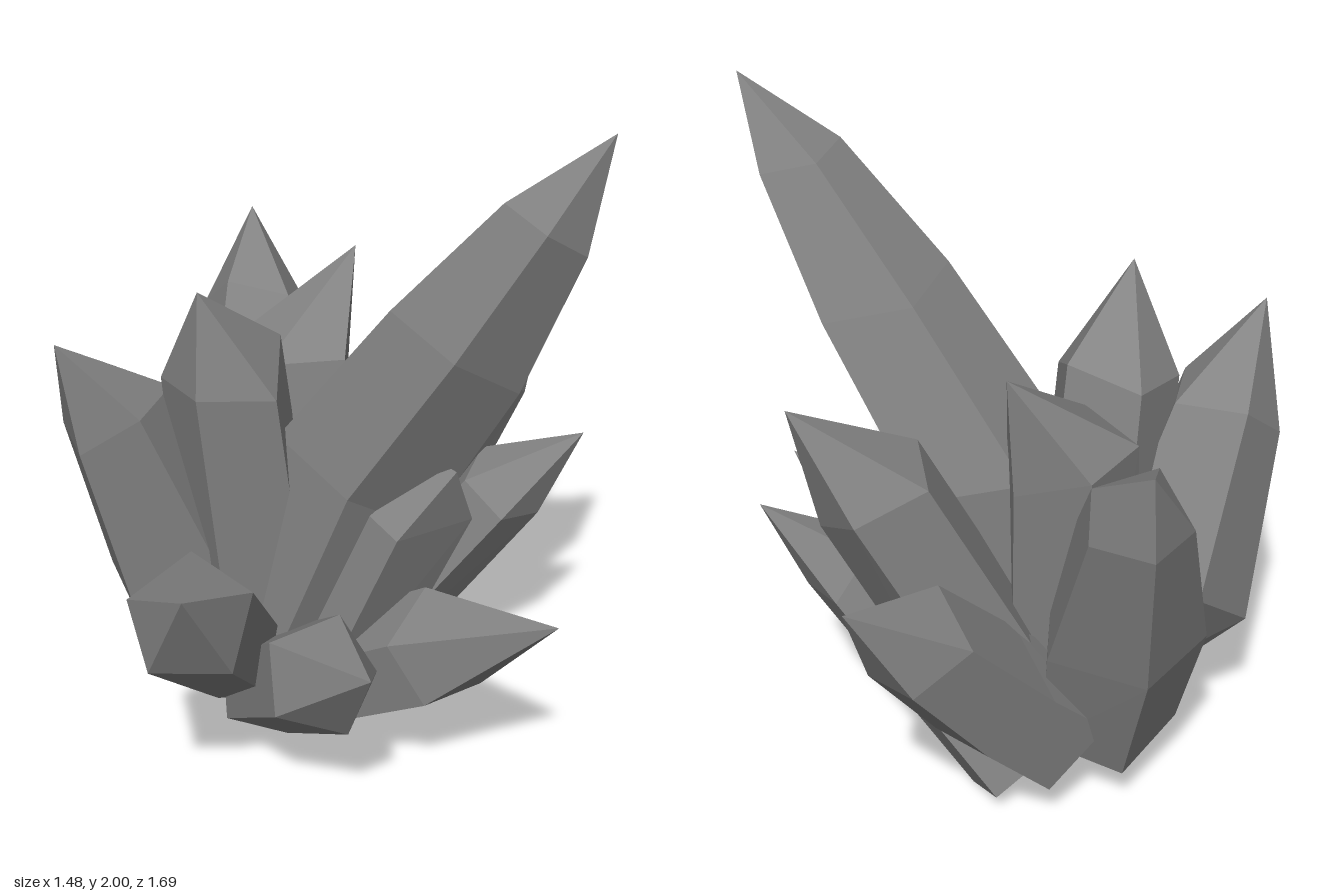
import * as THREE from 'three';

const material = new THREE.MeshStandardMaterial({ color: 0x848484, flatShading: true, side: THREE.DoubleSide });

// One faceted crystal. rings: [x, y, z, radius] from the root to the shoulder; tip: [x, y, z].
// turn is the angle in degrees of the first edge, measured from +x towards +z.
function crystal(name, tip, rings, turn) {
  const sides = 5;
  const top = new THREE.Vector3(...tip);
  const root = new THREE.Vector3(...rings[0]);
  const axis = top.clone().sub(root).normalize();
  const tilt = new THREE.Quaternion().setFromUnitVectors(new THREE.Vector3(0, 1, 0), axis);

  // closed at the root and pointed at the tip
  const sections = [[...rings[0].slice(0, 3), 0], ...rings, [...tip, 0]];
  const loops = sections.map(([x, y, z, r], i) => {
    const isShoulder = i > 1 && r > 0;
    return Array.from({ length: sides }, (_, j) => {
      const a = THREE.MathUtils.degToRad(turn) + (j / sides) * Math.PI * 2;
      const lift = isShoulder ? 0.2 * r * Math.sin(j * 2.4 + 1) : 0; // uneven shoulders
      return new THREE.Vector3(Math.cos(a) * r, lift, Math.sin(a) * r)
        .applyQuaternion(tilt).add(new THREE.Vector3(x, y, z));
    });
  });

  const points = [];
  for (let i = 0; i < loops.length - 1; i++) {
    for (let j = 0; j < sides; j++) {
      const k = (j + 1) % sides;
      const a = loops[i][j], b = loops[i][k], c = loops[i + 1][j], d = loops[i + 1][k];
      if (sections[i][3] > 0) points.push(a, c, b);
      if (sections[i + 1][3] > 0) points.push(b, c, d);
    }
  }
  const geometry = new THREE.BufferGeometry().setFromPoints(points);
  geometry.computeVertexNormals();
  const mesh = new THREE.Mesh(geometry, material);
  mesh.name = name;
  return mesh;
}

export function createModel() {
  const group = new THREE.Group();
  group.name = 'crystalCluster';

  group.add(
    // the tallest crystal, leaning to the left
    crystal('mainCrystal', [0.74, 2.0, 0.19],
      [[-0.17, 0.24, 0.02, 0.2], [0.08, 0.92, 0.02, 0.25], [0.37, 1.39, 0.12, 0.21], [0.59, 1.76, 0.18, 0.13]], 90),

    // upright crystals in the middle and on the right
    crystal('rightCrystal', [-0.69, 1.33, 0.31],
      [[-0.28, 0.27, 0, 0.14], [-0.46, 0.56, 0.02, 0.24], [-0.59, 1.07, 0.16, 0.17]], 40),
    crystal('middleCrystal', [-0.32, 1.48, 0.22],
      [[-0.22, 0.3, 0, 0.2], [-0.28, 1.2, 0.11, 0.18]], 100),
    crystal('innerCrystal', [-0.02, 1.4, -0.34],
      [[-0.17, 0.3, -0.1, 0.2], [-0.17, 1.12, -0.21, 0.19]], 30),

    // low crystals at the front
    crystal('frontCrystal', [-0.2, 0.93, 0.84],
      [[-0.26, 0.22, 0.05, 0.14], [-0.25, 0.73, 0.61, 0.18]], 115),
    crystal('frontLeftCrystal', [0.25, 0.66, 0.69],
      [[-0.19, 0.16, 0.07, 0.16], [0.06, 0.47, 0.43, 0.17]], 45),
    crystal('lowLeftCrystal', [0.69, 0.7, 0.4],
      [[-0.08, 0.17, 0.03, 0.16], [0.33, 0.45, 0.2, 0.17]], 0),

    // crystals on the left side
    crystal('bluntCrystal', [0.37, 1.0, 0.17],
      [[-0.08, 0.16, 0.03, 0.19], [0.2, 0.87, 0.05, 0.21]], 6),
    crystal('slimLeftCrystal', [0.66, 0.93, -0.25],
      [[-0.03, 0.095, -0.25, 0.15], [0.43, 0.73, -0.23, 0.13]], 0),

    // crystals at the back
    crystal('backLeftCrystal', [0.53, 1.36, -0.47],
      [[-0.05, 0.25, -0.2, 0.19], [0.33, 1.08, -0.37, 0.18]], 60),
    crystal('backCrystal', [0.34, 1.01, -0.85],
      [[-0.12, 0.26, -0.28, 0.2], [0.02, 0.47, -0.43, 0.19], [0.19, 0.78, -0.64, 0.16]], 270),
    crystal('backRightCrystal', [-0.41, 1.34, -0.68],
      [[-0.28, 0.24, -0.18, 0.21], [-0.33, 0.65, -0.31, 0.24], [-0.37, 1.13, -0.54, 0.15]], 250)
  );
  return group;
}
